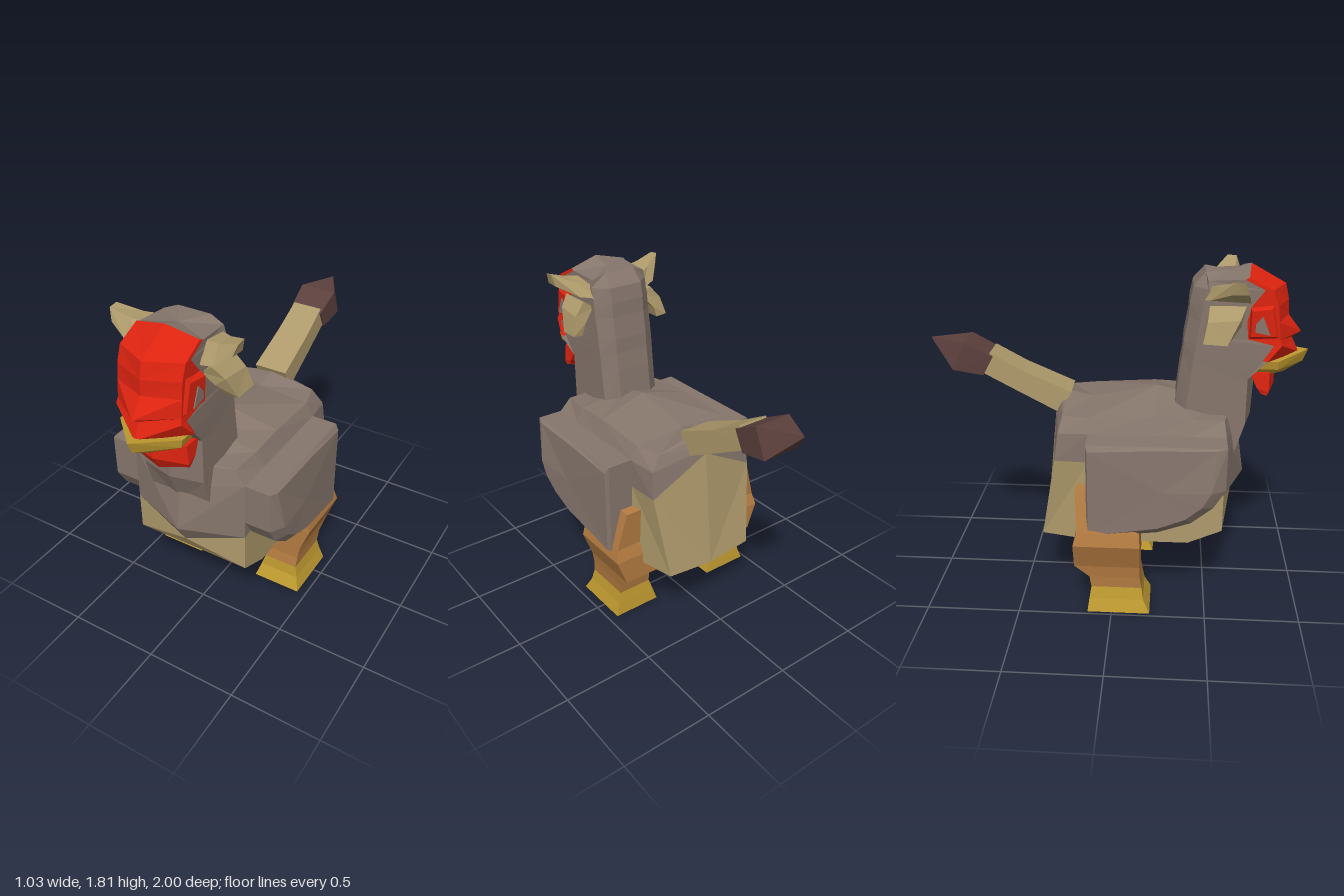
import * as THREE from 'three';

const mat = (name, color) => {
  const m = new THREE.MeshStandardMaterial({ color });
  m.name = name;
  return m;
};

// Mirrors half a cross-section, listed from its front or top round one side
const mirror = half => [...half, ...half.slice().reverse().map(([x, y, z]) => [-x, y, z])];

// Skins a row of closed rings with flat faces; pick(i, k) gives the material of
// band i and strip k, where both halves of a mirrored ring share k
function loft(name, rings, pick) {
  const pickMat = pick.isMaterial ? () => pick : pick;
  const n = rings[0].length, half = n / 2, tris = [];
  const V = p => new THREE.Vector3(...p);
  const tri = (m, a, b, c) => {
    const [A, B, C] = [a, b, c].map(V);
    if (B.clone().sub(A).cross(C.clone().sub(A)).length() > 1e-7) tris.push({ m, p: [A, B, C] });
  };
  for (let i = 0; i < rings.length - 1; i++) {
    for (let j = 0; j < n; j++) {
      const k = j < half ? j : Math.max(0, n - 2 - j), q = (j + 1) % n;
      const m = pickMat(i, k), [a, b, c, d] = [rings[i][j], rings[i][q], rings[i + 1][q], rings[i + 1][j]];
      if (j < half) { tri(m, a, b, c); tri(m, a, c, d); }
      else { tri(m, a, b, d); tri(m, b, c, d); }
    }
  }
  // end caps
  [0, rings.length - 1].forEach((e, s) => {
    const r = rings[e], mid = [0, 1, 2].map(t => r.reduce((sum, p) => sum + p[t], 0) / n);
    const m = pickMat(s ? rings.length - 1 : -1, -1);
    for (let j = 0; j < n; j++) {
      const a = r[j], b = r[(j + 1) % n];
      s ? tri(m, a, b, mid) : tri(m, b, a, mid);
    }
  });
  // turn faces outward
  const volume = tris.reduce((v, { p }) => v + p[0].dot(p[1].clone().cross(p[2])), 0);
  const buckets = new Map();
  for (const { m, p } of tris) {
    if (volume < 0) p.reverse();
    if (!buckets.has(m)) buckets.set(m, []);
    buckets.get(m).push(...p);
  }
  const group = new THREE.Group();
  group.name = name;
  for (const [m, pts] of buckets) {
    const g = new THREE.BufferGeometry().setFromPoints(pts);
    g.computeVertexNormals();
    const mesh = new THREE.Mesh(g, m);
    mesh.name = `${name} ${m.name}`;
    group.add(mesh);
  }
  return group;
}

export function createModel() {
  const taupe = mat('taupe feathers', 0x86766c);
  const cream = mat('cream', 0xae9a6b);
  const red = mat('red face', 0xdc230f);
  const orange = mat('orange leg', 0xb67d42);
  const yellow = mat('yellow horn', 0xbf9a30);
  const brown = mat('dark brown', 0x5c403d);
  const model = new THREE.Group();
  model.name = 'creature';

  // Body: top centre, shoulder, side, colour split, low side, bottom centre
  const bodyRings = [
    [[0, 1.03, .62], [0, .9, .66], [0, .65, .7], [0, .54, .637], [0, .44, .58], [0, .44, .58]],
    [[0, 1.04, .6], [.27, 1.05, .57], [.33, .98, .58], [.33, .65, .58], [.33, .44, .58], [0, .44, .58]],
    [[0, 1.1, .4], [.29, 1.06, .4], [.33, .98, .4], [.33, .68, .4], [.33, .36, .4], [0, .32, .4]],
    [[0, 1.14, .22], [.29, 1.07, .2], [.33, .98, .2], [.33, .74, .2], [.33, .36, .2], [0, .32, .2]],
    [[0, 1.07, -.13], [.29, 1.05, -.13], [.33, .98, -.13], [.33, .82, -.13], [.33, .36, -.13], [0, .33, -.13]],
    [[0, 1.1, -.26], [.25, 1.05, -.27], [.31, .97, -.29], [.32, .82, -.31], [.27, .36, -.39], [0, .34, -.4]],
    [[0, 1.1, -.28], [0, 1.08, -.3], [0, 1.03, -.33], [0, 1, -.335], [0, .34, -.4], [0, .34, -.4]],
  ];
  model.add(loft('body', bodyRings.map(mirror), (i, k) => (k >= 3 ? cream : taupe)));

  // Tail with a pointed tip
  const slice = (w, top, bottom) => mirror([[w, top[1], top[0]], [w, bottom[1], bottom[0]]]);
  model.add(loft('tail', [
    slice(.095, [-.24, 1.12], [-.3, 1.0]),
    slice(.09, [-.5, 1.235], [-.53, 1.12]),
    slice(.085, [-.67, 1.33], [-.72, 1.22]),
  ], cream));
  model.add(loft('tail tip', [
    slice(.095, [-.655, 1.31], [-.71, 1.205]),
    slice(.105, [-.8, 1.385], [-.87, 1.235]),
    slice(.002, [-1, 1.385], [-1, 1.38]),
  ], brown));

  // Neck and head: y, then depth of front ridge, front corner, mask edge, back corner, back
  const head = new THREE.Group();
  head.name = 'head';
  head.position.x = -.015;
  const headRings = [
    [.8, .64, .62, .56, .32, .26],
    [1, .72, .68, .6, .36, .305],
    [1.25, .73, .68, .6, .39, .33],
    [1.35, .95, .77, .75, .4, .345, .2],
    [1.43, .91, .84, .8, .41, .35, .18],
    [1.46, .955, .83, .67, .415, .355],
    [1.55, .885, .82, .66, .43, .37],
    [1.63, .88, .81, .68, .44, .375],
    [1.71, .86, .78, .74, .46, .39],
  ].map(([y, f, s, m, b, k, w = .175]) =>
    mirror([[0, y, f], [w, y, s], [Math.min(w, .18), y, m], [.175, y, b], [.1, y, k]]));
  headRings.push(mirror([[0, 1.81, .68], [.17, 1.77, .66], [.172, 1.76, .64], [.165, 1.75, .46], [.09, 1.78, .45]]));
  head.add(loft('neck and head', headRings, (i, k) => (i >= 3 && i < 9 && (k === 0 || k === 1) ? red : taupe)));

  // Beak: upper edge, then lower edge
  head.add(loft('beak', [
    mirror([[0, 1.365, 1], [.175, 1.345, .83], [.17, 1.345, .72]]),
    mirror([[0, 1.3, .975], [.165, 1.3, .83], [.16, 1.3, .72]]),
    mirror([[0, 1.24, .88], [.13, 1.265, .8], [.13, 1.265, .7]]),
  ], yellow));

  // Wattle under the beak
  head.add(loft('wattle', [
    mirror([[0, 1.27, .83], [.165, 1.28, .79], [.165, 1.28, .69]]),
    mirror([[0, 1.18, .835], [.175, 1.18, .79], [.17, 1.2, .73]]),
    mirror([[0, 1.1, .79], [.17, 1.16, .78], [.165, 1.17, .75]]),
  ], red));

  for (const s of [1, -1]) {
    const side = s > 0 ? 'left' : 'right';
    const flip = rings => rings.map(r => r.map(([x, y, z]) => [s * x, y, z]));
    const plate = (pts, x0, x1) => flip([x0, x1].map(x => pts.map(([z, y]) => [x, y, z])));

    // Eye patch and eye
    head.add(loft(`${side} eye patch`, flip([
      [[.16, 1.45, .67], [.16, 1.63, .67], [.16, 1.65, .79], [.16, 1.46, .83]],
      [[.2, 1.48, .68], [.205, 1.61, .68], [.195, 1.62, .78], [.19, 1.48, .81]],
    ]), red));
    head.add(loft(`${side} eye`, plate([[.775, 1.49], [.7, 1.505], [.7, 1.545], [.735, 1.585]], .201, .207), taupe));

    // Horn, sweeping up and out
    head.add(loft(`${side} horn`, flip([
      [[.14, 1.65, .43], [.14, 1.72, .46], [.14, 1.74, .6], [.15, 1.65, .68]],
      [[.24, 1.67, .47], [.24, 1.74, .52], [.24, 1.75, .62], [.24, 1.66, .67]],
      [[.33, 1.72, .57], [.345, 1.785, .58], [.345, 1.78, .63], [.325, 1.72, .65]],
    ]), cream));

    // Drooping ear
    head.add(loft(`${side} ear`, flip([
      [[.16, 1.6, .47], [.16, 1.6, .65], [.22, 1.64, .65], [.22, 1.64, .47]],
      [[.23, 1.52, .45], [.22, 1.54, .63], [.27, 1.58, .62], [.28, 1.57, .46]],
      [[.25, 1.46, .45], [.25, 1.46, .57], [.3, 1.46, .56], [.31, 1.47, .44]],
    ]), cream));

    // Wing with a bevelled rim
    const rim = [[.58, .98], [.58, .75], [.52, .65], [.41, .56], [.24, .5], [-.13, .455], [-.13, .98]];
    const face = [[.53, .97, .485], [.505, .75, .515], [.46, .67, .515], [.38, .6, .51],
      [.24, .54, .505], [-.12, .475, .49], [-.12, .95, .49]];
    // an even point count keeps both halves of the ring aligned
    rim.push([.2, .98]);
    face.push([.2, .965, .487]);
    model.add(loft(`${side} wing`, flip([
      rim.map(([z, y]) => [.29, y, z]),
      rim.map(([z, y]) => [.47, y, z]),
      face.map(([z, y, x]) => [x, y, z]),
    ]), taupe));

    // Leg and foot: y, inner x, outer x, back z, front z
    const legRing = ([y, a, b, c, d]) => [[a, y, d], [b, y, d], [b, y, c], [a, y, c]];
    const foot = [[0, .19, .465, -.13, .205], [.07, .21, .44, -.12, .17], [.135, .23, .425, -.11, .16]];
    const leg = [foot[2], [.2, .235, .43, -.12, .15], [.27, .24, .44, -.2, .15],
      [.42, .22, .495, -.2, .15], [.49, .24, .48, -.18, .145], [.7, .33, .42, -.19, -.12]];
    const limb = new THREE.Group();
    limb.name = `${side} leg`;
    limb.position.x = -.015;
    limb.add(loft('foot', flip(foot.map(legRing)), yellow), loft('shin and thigh', flip(leg.map(legRing)), orange));
    model.add(limb);
  }
  model.add(head);
  return model;
}
